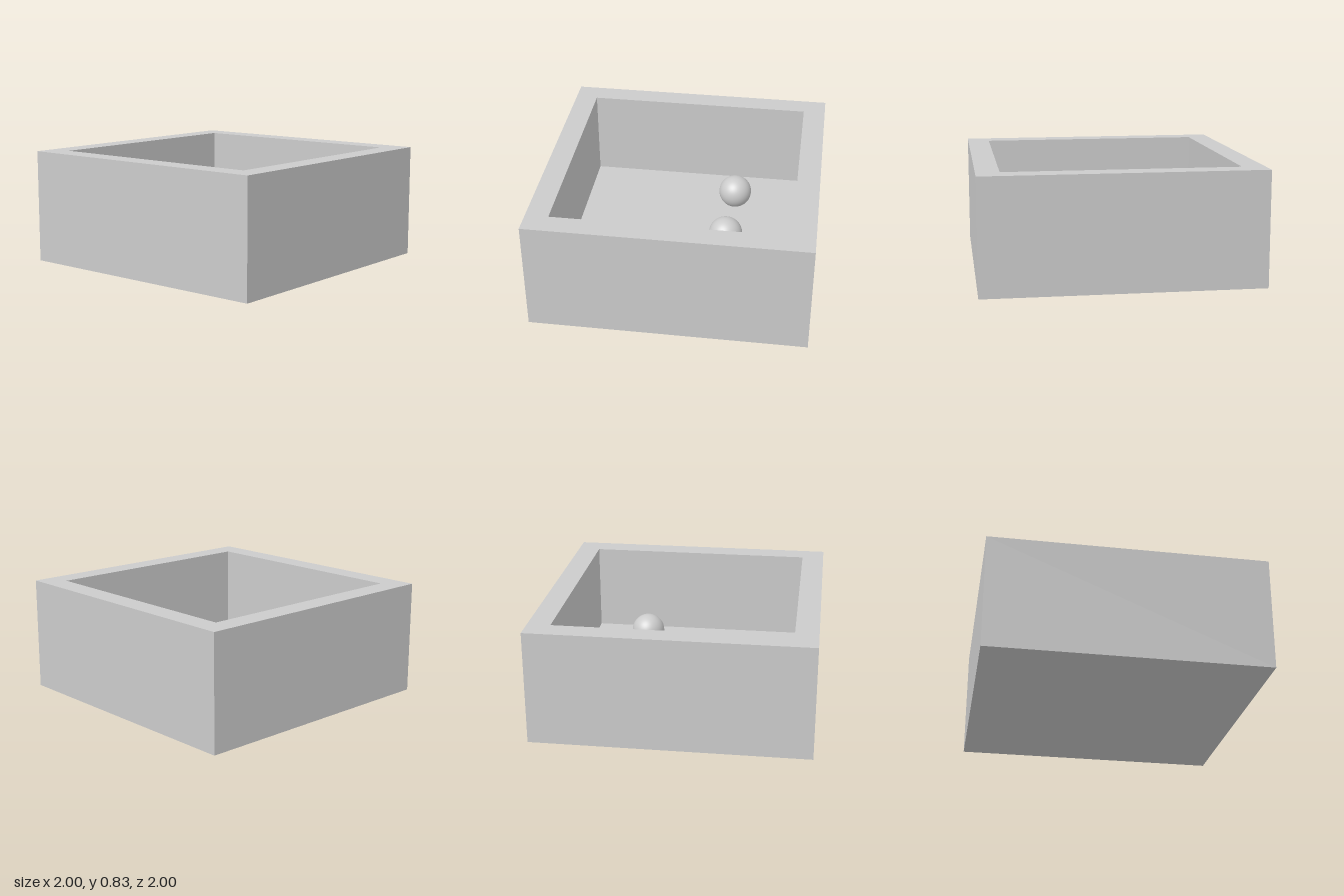
import * as THREE from 'three';

export function createModel() {
  const model = new THREE.Group();
  const flat = new THREE.MeshStandardMaterial({ color: 0xcccccc, flatShading: true });
  const smooth = new THREE.MeshStandardMaterial({ color: 0xcccccc });

  // Square open box: wall section (half width, height) swept round four sides
  const section = [[0, 0], [1, 0], [1, 0.83], [0.835, 0.83], [0.835, 0.17], [0, 0.17]]
    .map(([half, y]) => new THREE.Vector2(half * Math.SQRT2, y));
  const boxGeometry = new THREE.LatheGeometry(section, 4, Math.PI / 4).toNonIndexed();
  boxGeometry.computeVertexNormals();
  const box = new THREE.Mesh(boxGeometry, flat);
  box.name = 'openBox';
  model.add(box);

  // Two balls hovering just above the floor
  const ballGeometry = new THREE.SphereGeometry(0.124, 48, 32);
  const balls = { leftBall: [0.25, 0.38, -0.335], rightBall: [-0.34, 0.36, -0.35] };
  for (const [name, position] of Object.entries(balls)) {
    const ball = new THREE.Mesh(ballGeometry, smooth);
    ball.name = name;
    ball.position.set(...position);
    model.add(ball);
  }

  return model;
}
